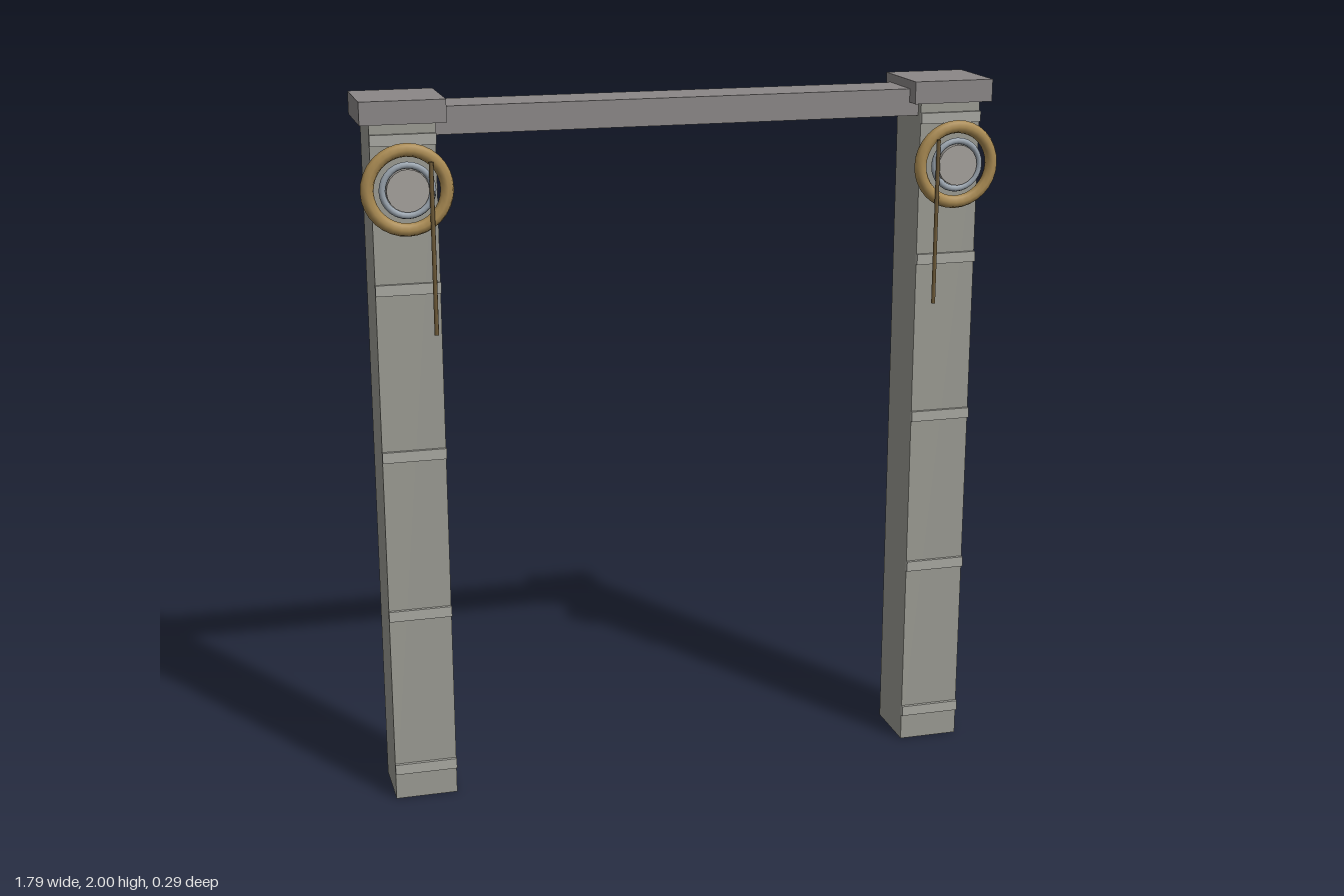
import * as THREE from 'three';

const mat = (color, flatShading = false) => new THREE.MeshStandardMaterial({ color, flatShading });

const stone = mat(0x9b9b93, true);
const trim = mat(0xa9a9a2, true);
const capStone = mat(0x8b8787, true);
const brass = mat(0xa98a52);
const steel = mat(0x98a2ac);
const hubGrey = mat(0xa5a19c);
const ropeBrown = mat(0x6e5a38);

function add(parent, name, geometry, material, x, y, z) {
  const mesh = new THREE.Mesh(geometry, material);
  mesh.name = name;
  mesh.position.set(x, y, z);
  parent.add(mesh);
  return mesh;
}

// Ringed wheel facing the front, with a raised hub and a hanging rope
function createPulley(side) {
  const pulley = new THREE.Group();
  pulley.name = 'pulley';
  add(pulley, 'outerRing', new THREE.TorusGeometry(0.106, 0.018, 8, 32), brass, 0, 0, 0);
  add(pulley, 'innerRing', new THREE.TorusGeometry(0.067, 0.009, 8, 28), steel, 0, 0, 0.006);
  const hub = add(pulley, 'hub', new THREE.CylinderGeometry(0.057, 0.057, 0.024, 20), hubGrey, 0, 0, 0.004);
  hub.rotation.x = Math.PI / 2;
  add(pulley, 'rope', new THREE.CylinderGeometry(0.006, 0.006, 0.465, 8), ropeBrown, -side * 0.062, -0.158, 0.021);
  return pulley;
}

// Square pillar with a cap and raised bands on its front face
function createPillar(side) {
  const pillar = new THREE.Group();
  pillar.name = side > 0 ? 'leftPillar' : 'rightPillar';
  pillar.position.x = side * 0.772;

  add(pillar, 'shaft', new THREE.BoxGeometry(0.176, 1.94, 0.182), stone, 0, 0.97, -0.027);
  add(pillar, 'cap', new THREE.BoxGeometry(0.23, 0.062, 0.23), capStone, 0, 1.969, -0.028);

  for (const y of [0.093, 0.561, 1.026, 1.493, 1.895]) {
    add(pillar, 'band', new THREE.BoxGeometry(0.177, 0.03, 0.015), trim, 0, y, 0.066);
  }

  const pulley = createPulley(side);
  pulley.position.set(0, 1.77, 0.117);
  pillar.add(pulley);
  return pillar;
}

export function createModel() {
  const group = new THREE.Group();
  group.name = 'gateFrame';
  for (const side of [-1, 1]) group.add(createPillar(side));
  // Crossbeam let into both pillars
  add(group, 'crossbeam', new THREE.BoxGeometry(1.4, 0.075, 0.15), capStone, 0, 1.938, -0.032);
  return group;
}
